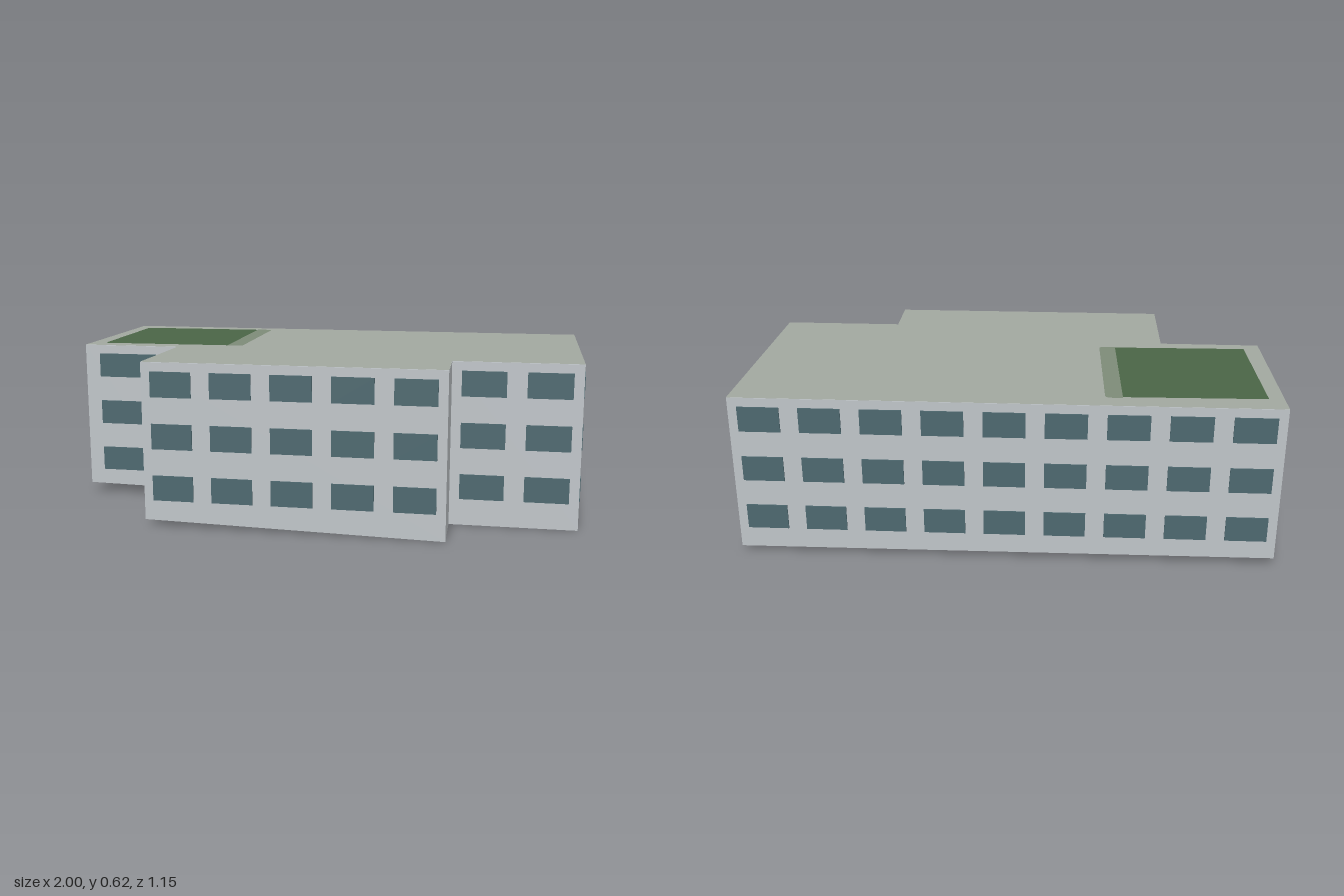
import * as THREE from 'three';

const TOP = 0.618;

// Footprint corners, counter-clockwise from above: x, z, ground height, windows on the wall that starts here
const corners = [
  [-0.995, 0.12, 0.04, 1],
  [-0.605, 0.13, 0.033, 1],
  [-0.615, 0.548, 0.025, 5],
  [0.503, 0.57, 0, 0],
  [0.503, 0.35, 0, 2],
  [0.977, 0.36, 0, 4],
  [0.995, -0.535, 0.02, 9],
  [-0.985, -0.573, 0.03, 3],
];

function material(name, color) {
  const m = new THREE.MeshStandardMaterial({ color });
  m.name = name;
  return m;
}

function addMesh(parent, name, geometry, mat) {
  const mesh = new THREE.Mesh(geometry, mat);
  mesh.name = name;
  parent.add(mesh);
  return mesh;
}

export function createModel() {
  const wallMat = material('wall grey', 0xc0c5c9);
  const roofMat = material('roof grey', 0xa2a8a0);
  const glassMat = material('window teal', 0x4d686f);
  const greenMat = material('lawn green', 0x4a6546);
  const paleGreenMat = material('lawn border green', 0x7d8b78);

  const group = new THREE.Group();
  group.name = 'building';

  // Walls: extruded footprint whose lower edge follows the sloping ground
  const footprint = new THREE.Shape(corners.map(([x, z]) => new THREE.Vector2(x, -z)));
  const walls = new THREE.ExtrudeGeometry(footprint, { depth: TOP, bevelEnabled: false });
  walls.rotateX(-Math.PI / 2);
  const p = walls.attributes.position;
  for (let i = 0; i < p.count; i++) {
    if (p.getY(i) > 0.1) continue;
    const c = corners.find(([x, z]) => Math.hypot(x - p.getX(i), z - p.getZ(i)) < 0.001);
    p.setY(i, c[2]);
  }
  walls.computeVertexNormals();
  addMesh(group, 'walls', walls, wallMat);

  // Roof surface
  const roof = new THREE.ShapeGeometry(footprint).rotateX(-Math.PI / 2);
  addMesh(group, 'roof', roof, roofMat).position.y = TOP + 0.001;

  // Three storeys of window plates along each wall
  const windows = new THREE.Group();
  windows.name = 'windows';
  group.add(windows);
  corners.forEach(([x0, z0, , count], i) => {
    const [x1, z1] = corners[(i + 1) % corners.length];
    const bay = Math.hypot(x1 - x0, z1 - z0) / count;
    for (let k = 0; k < count; k++) {
      const t = (k + 0.5) / count;
      for (const y of [0.148, 0.343, 0.537]) {
        const pane = addMesh(windows, 'window', new THREE.BoxGeometry(bay * 0.69, 0.095, 0.009), glassMat);
        pane.position.set(x0 + (x1 - x0) * t, y, z0 + (z1 - z0) * t);
        pane.rotation.y = Math.atan2(z0 - z1, x1 - x0);
      }
    }
  });

  // Roof garden with a pale border that has rounded outer corners
  const lawn = new THREE.PlaneGeometry(0.515, 0.55).rotateX(-Math.PI / 2);
  addMesh(group, 'roofLawn', lawn, greenMat).position.set(-0.6725, TOP + 0.003, -0.2075);

  const x0 = -0.415, x1 = -0.352, zb = -0.49, zf = 0.074, r = 0.022;
  const strip = new THREE.Shape();
  strip.moveTo(x0, -zf);
  strip.lineTo(x1 - r, -zf);
  strip.quadraticCurveTo(x1, -zf, x1, -zf + r);
  strip.lineTo(x1, -zb - r);
  strip.quadraticCurveTo(x1, -zb, x1 - r, -zb);
  strip.lineTo(x0, -zb);
  const border = new THREE.ShapeGeometry(strip, 6).rotateX(-Math.PI / 2);
  addMesh(group, 'lawnBorder', border, paleGreenMat).position.y = TOP + 0.003;

  return group;
}
